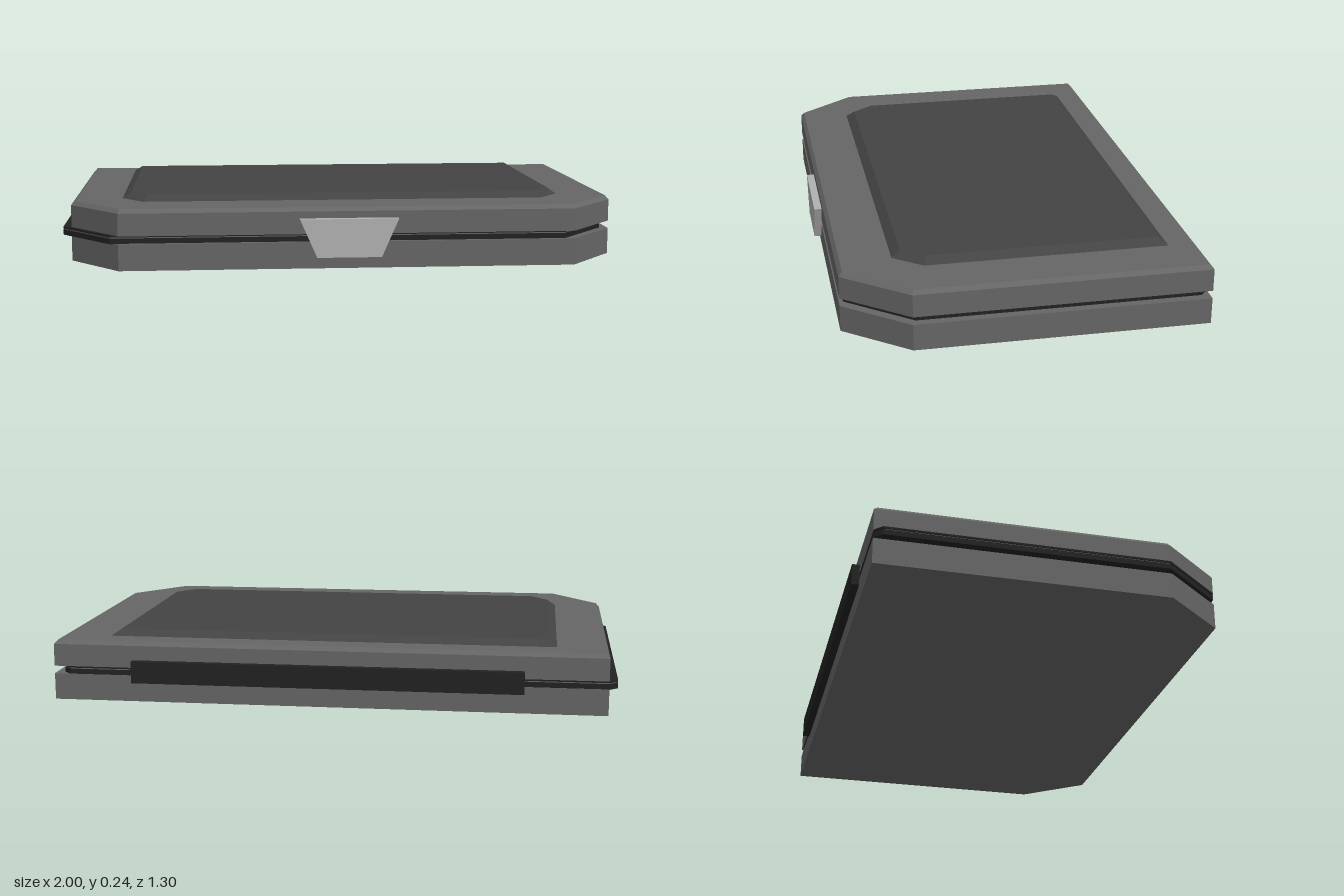
import * as THREE from 'three';

const mat = (name, color) => Object.assign(new THREE.MeshStandardMaterial({ color }), { name });

// Rectangle with cut front corners (cx by cz) and small back cuts (b), shrunk by d
function outline({ x0, x1, z0, z1, cx, cz, b = 0 }, d) {
  const L = Math.hypot(cx, cz), h = (cx * cz) / L;
  const k = (h - (d * (cx + cz)) / L + d) / h;
  const l = x0 + d, r = x1 - d, back = z0 + d, front = z1 - d, u = cx * k, v = cz * k;
  const front4 = [[l, front - v], [l + u, front], [r - u, front], [r, front - v]];
  return b
    ? [[l + b, back], [l, back + b], ...front4, [r, back + b], [r - b, back]]
    : [[l, back], ...front4, [r, back]];
}

// Closed slab through layers of [height, inset]
function slab(spec, layers) {
  const rings = layers.map(([y, d]) => outline(spec, d).map(([x, z]) => [x, y, z]));
  const n = rings[0].length, pos = [];
  const tri = (...pts) => pts.forEach((p) => pos.push(...p));
  for (let j = 0; j < rings.length - 1; j++) {
    const lo = rings[j], hi = rings[j + 1];
    for (let i = 0; i < n; i++) {
      const k = (i + 1) % n;
      tri(lo[i], lo[k], hi[k]);
      tri(lo[i], hi[k], hi[i]);
    }
  }
  const bottom = rings[0], top = rings[rings.length - 1];
  for (let i = 1; i < n - 1; i++) {
    tri(top[0], top[i], top[i + 1]);
    tri(bottom[0], bottom[i + 1], bottom[i]);
  }
  const g = new THREE.BufferGeometry();
  g.setAttribute('position', new THREE.Float32BufferAttribute(pos, 3));
  g.computeVertexNormals();
  return g;
}

export function createModel() {
  const model = new THREE.Group();
  model.name = 'flatCase';
  const shell = mat('shellGrey', 0x666666);
  const dark = mat('panelGrey', 0x434343);
  const black = mat('hingeBlack', 0x222222);
  const metal = mat('claspGrey', 0xb0b0b0);
  const add = (name, geo, m) => {
    const mesh = new THREE.Mesh(geo, m);
    mesh.name = name;
    model.add(mesh);
    return mesh;
  };

  // Two shells of the case
  const body = { x0: -0.97, x1: 0.998, z0: -0.622, z1: 0.623, cx: 0.18, cz: 0.222 };
  add('lowerShell', slab(body, [[0, 0], [0.094, 0]]), shell);
  add('lid', slab(body, [[0.122, 0], [0.202, 0], [0.216, 0.013]]), shell);

  // Seam between the shells, offset to one side, with a fine groove
  const seam = { x0: -1, x1: 0.968, z0: -0.62, z1: 0.608, cx: 0.18, cz: 0.22, b: 0.027 };
  add('seamLower', slab(seam, [[0.093, 0], [0.112, 0]]), black);
  add('seamGroove', slab(seam, [[0.111, 0.004], [0.117, 0.004]]), shell);
  add('seamUpper', slab(seam, [[0.116, 0], [0.123, 0]]), black);

  // Raised panel on the lid
  const panel = { x0: -0.79, x1: 0.815, z0: -0.518, z1: 0.434, cx: 0.08, cz: 0.1 };
  add('lidPanel', slab(panel, [[0.21, 0], [0.216, 0], [0.238, 0.031]]), dark);

  // Hinge bar along the back
  add('hinge', new THREE.BoxGeometry(1.39, 0.078, 0.05), black).position.set(0.014, 0.111, -0.624);

  // Tapered clasp on the front
  const s = new THREE.Shape([[-0.1, 0.042], [0.127, 0.042], [0.187, 0.178], [-0.16, 0.178]]
    .map(([x, y]) => new THREE.Vector2(x, y)));
  add('clasp', new THREE.ExtrudeGeometry(s, { depth: 0.042, bevelEnabled: false }), metal).position.z = 0.608;

  return model;
}
